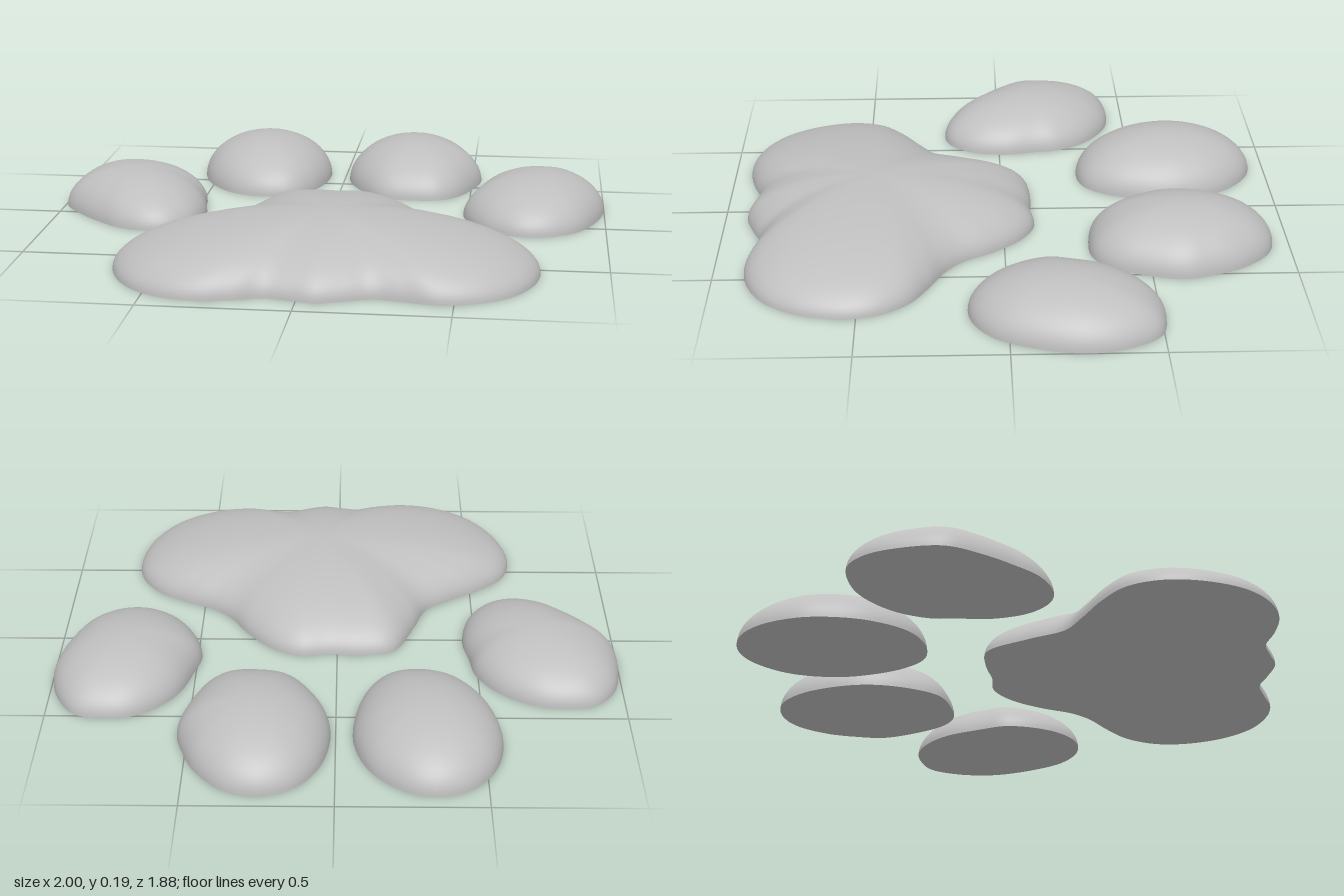
import * as THREE from 'three';

const grey = new THREE.MeshStandardMaterial({ color: 0xbfbfbf });
grey.name = 'soft grey';

// Smooth dome with a flat base: the closed outline (x, z pairs, clockwise from
// above) shrinks towards the peak along a quarter ellipse.
function dome(name, [cx, cz], height, outline, segments = 96, rings = 20) {
  const curve = new THREE.CatmullRomCurve3(
    outline.map(([x, z]) => new THREE.Vector3(x, 0, z)), true, 'centripetal');
  const rim = curve.getSpacedPoints(segments).slice(0, segments);
  const pos = [], index = [];
  for (let j = 0; j < rings; j++) {
    const t = (j / rings) * Math.PI / 2, s = Math.cos(t);
    for (const p of rim) pos.push(cx + (p.x - cx) * s, height * Math.sin(t), cz + (p.z - cz) * s);
  }
  const apex = rings * segments, baseRim = apex + 1, baseCentre = baseRim + segments;
  pos.push(cx, height, cz);
  for (const p of rim) pos.push(p.x, 0, p.z); // own vertices keep the base edge sharp
  pos.push(cx, 0, cz);

  for (let i = 0; i < segments; i++) {
    const n = (i + 1) % segments;
    for (let j = 0; j < rings - 1; j++) {
      const a = j * segments, b = a + segments;
      index.push(a + i, b + i, a + n, a + n, b + i, b + n);
    }
    const last = (rings - 1) * segments;
    index.push(last + i, apex, last + n);
    index.push(baseCentre, baseRim + i, baseRim + n);
  }
  const geometry = new THREE.BufferGeometry();
  geometry.setAttribute('position', new THREE.Float32BufferAttribute(pos, 3));
  geometry.setIndex(index);
  geometry.computeVertexNormals();
  const mesh = new THREE.Mesh(geometry, grey);
  mesh.name = name;
  return mesh;
}

export function createModel() {
  const group = new THREE.Group();
  group.name = 'pawPrint';

  // Large three-lobed pad
  group.add(dome('mainPad', [0.06, 0.46], 0.185, [
    [-0.2, -0.08], [-0.07, -0.105], [0.03, -0.1], [0.14, -0.11], [0.24, -0.06], [0.33, 0.04],
    [0.4, 0.15], [0.47, 0.21], [0.57, 0.26], [0.68, 0.33], [0.75, 0.43], [0.77, 0.54],
    [0.74, 0.69], [0.66, 0.81], [0.55, 0.875], [0.44, 0.895], [0.34, 0.875], [0.24, 0.86],
    [0.16, 0.89], [0.06, 0.92], [-0.02, 0.905], [-0.11, 0.89], [-0.2, 0.92], [-0.32, 0.94],
    [-0.44, 0.915], [-0.55, 0.84], [-0.63, 0.71], [-0.66, 0.57], [-0.63, 0.45], [-0.54, 0.36],
    [-0.42, 0.28], [-0.33, 0.21], [-0.28, 0.08],
  ], 180, 24));

  // Inner toes
  group.add(dome('rightInnerToe', [-0.31, -0.61], 0.17, [
    [-0.33, -0.945], [-0.23, -0.92], [-0.12, -0.82], [-0.065, -0.68], [-0.06, -0.56],
    [-0.1, -0.4], [-0.17, -0.31], [-0.28, -0.285], [-0.4, -0.32], [-0.5, -0.43],
    [-0.55, -0.56], [-0.56, -0.68], [-0.52, -0.82], [-0.44, -0.91],
  ]));
  group.add(dome('leftInnerToe', [0.275, -0.61], 0.17, [
    [0.25, -0.945], [0.36, -0.92], [0.46, -0.82], [0.51, -0.71], [0.535, -0.61],
    [0.51, -0.49], [0.45, -0.36], [0.38, -0.305], [0.28, -0.295], [0.16, -0.32],
    [0.08, -0.41], [0.025, -0.54], [0.02, -0.66], [0.06, -0.81], [0.14, -0.91],
  ]));

  // Outer toes
  group.add(dome('rightOuterToe', [-0.73, -0.12], 0.155, [
    [-0.78, -0.44], [-0.68, -0.42], [-0.56, -0.34], [-0.49, -0.23], [-0.475, -0.14],
    [-0.455, -0.02], [-0.48, 0.11], [-0.55, 0.19], [-0.63, 0.21], [-0.74, 0.18],
    [-0.83, 0.11], [-0.92, 0.02], [-0.99, -0.08], [-1, -0.2], [-0.97, -0.34], [-0.9, -0.42],
  ]));
  group.add(dome('leftOuterToe', [0.745, -0.19], 0.155, [
    [0.8, -0.515], [0.9, -0.49], [0.97, -0.39], [1, -0.25], [0.97, -0.09], [0.9, 0.05],
    [0.8, 0.12], [0.69, 0.13], [0.59, 0.08], [0.52, -0.01], [0.485, -0.12], [0.505, -0.22],
    [0.55, -0.36], [0.62, -0.45], [0.71, -0.505],
  ]));
  return group;
}
